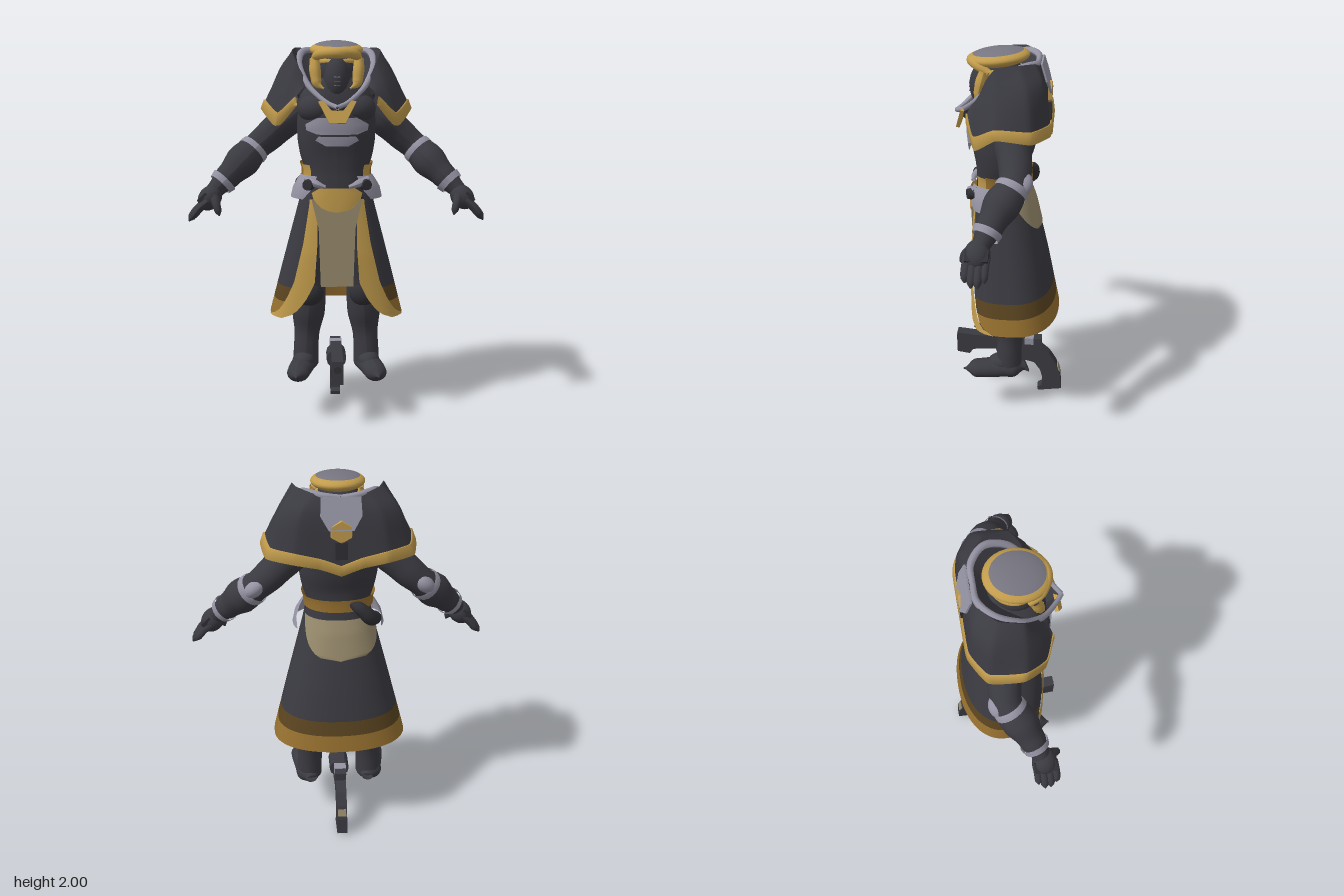
import * as THREE from 'three';

const V = (x, y, z) => new THREE.Vector3(x, y, z);
const P = Math.PI;

export function createModel() {
  const root = new THREE.Group();
  const mat = (name, color) => {
    const m = new THREE.MeshStandardMaterial({ color, side: THREE.DoubleSide });
    m.name = name;
    return m;
  };
  const dark = mat('charcoal', 0x3a3a41), black = mat('black', 0x303035), gold = mat('gold', 0xc29c4c),
    bronze = mat('bronze', 0x96702f), brown = mat('dark brown', 0x5a4420), tan = mat('tan cloth', 0x998c6d),
    silver = mat('silver', 0x9593a3), slate = mat('slate', 0x777580);

  const add = (name, geo, m) => {
    const mesh = new THREE.Mesh(geo, m);
    mesh.name = name;
    root.add(mesh);
    return mesh;
  };
  const both = (fn) => [1, -1].forEach((s) => fn(s, s > 0 ? 'left' : 'right'));

  // smooth sheet through rows of points
  function sheet(name, rows, m) {
    const n = rows[0].length, idx = [];
    for (let i = 0; i < rows.length - 1; i++) for (let j = 0; j < n - 1; j++) {
      const a = i * n + j, b = a + n;
      idx.push(a, b, a + 1, b, b + 1, a + 1);
    }
    const g = new THREE.BufferGeometry().setFromPoints(rows.flat());
    g.setIndex(idx);
    g.computeVertexNormals();
    return add(name, g, m);
  }
  // tube whose radius follows a list
  function limb(name, pts, radii, m, sides = 14, seg = 24) {
    const curve = new THREE.CatmullRomCurve3(pts);
    const g = new THREE.TubeGeometry(curve, seg, 1, sides);
    const p = g.attributes.position, v = V(0, 0, 0);
    for (let i = 0; i <= seg; i++) {
      const c = curve.getPointAt(i / seg), f = (i / seg) * (radii.length - 1);
      const k = Math.min(Math.floor(f), radii.length - 2);
      const r = THREE.MathUtils.lerp(radii[k], radii[k + 1], THREE.MathUtils.smoothstep(f - k, 0, 1));
      for (let j = 0; j <= sides; j++) {
        const q = i * (sides + 1) + j;
        v.fromBufferAttribute(p, q).sub(c).multiplyScalar(r).add(c);
        p.setXYZ(q, v.x, v.y, v.z);
      }
    }
    g.computeVertexNormals();
    return add(name, g, m);
  }
  function ball(name, pos, size, m) {
    const mesh = add(name, new THREE.SphereGeometry(1, 24, 16), m);
    mesh.position.set(...pos);
    mesh.scale.set(...size);
    return mesh;
  }
  function box(name, size, pos, m) {
    const mesh = add(name, new THREE.BoxGeometry(...size), m);
    mesh.position.set(...pos);
    return mesh;
  }
  const plate = (pts, depth) => new THREE.ExtrudeGeometry(
    new THREE.Shape(pts.map((p) => new THREE.Vector2(...p))), { depth, bevelEnabled: false });

  // tables run from high y to low y
  function look(table, y) {
    let i = 0;
    while (i < table.length - 2 && y < table[i + 1][0]) i++;
    const a = table[i], b = table[i + 1], t = THREE.MathUtils.clamp((a[0] - y) / (a[0] - b[0]), 0, 1);
    return a.map((q, k) => q + (b[k] - q) * t);
  }
  // body section: [y, half width, front z, back z]; angle 0 is the front
  function point(table, y, a, pow, grow = 0) {
    const [, rx, zf, zb] = look(table, y), c = Math.cos(a), s = Math.sin(a), e = c > 0 ? pow : 0.9;
    const sp = (q) => Math.sign(q) * Math.abs(q) ** e;
    return V((rx + grow) * sp(s), y, (zf + zb) / 2 + ((zf - zb) / 2 + grow) * sp(c));
  }
  const angle = (table, y, x, pow) => Math.asin(Math.min(1, Math.abs(x) / look(table, y)[1]) ** (1 / pow)) * Math.sign(x);
  const steps = (a, b, n) => Array.from({ length: n + 1 }, (_, i) => a + ((b - a) * i) / n);
  const band = (name, table, pow, ys, from, to, n, grow, m) => sheet(name, ys.map((y) =>
    steps(from(y), to(y), n).map((a) => point(table, y, a, pow, grow))), m);

  // torso
  const torso = [[1.87, 0.07, 0.1, -0.07], [1.8, 0.13, 0.172, -0.13], [1.72, 0.19, 0.19, -0.15], [1.6, 0.205, 0.2, -0.15],
    [1.5, 0.203, 0.19, -0.13], [1.42, 0.19, 0.175, -0.105], [1.34, 0.165, 0.17, -0.1], [1.2, 0.18, 0.175, -0.12]];
  band('torso', torso, 0.85, steps(1.87, 1.2, 26), () => 0, () => 2 * P, 40, 0, dark);
  band('belt', torso, 0.85, [1.38, 1.35, 1.315], () => 1.1, () => 2 * P - 1.1, 36, 0.014, bronze);
  both((s, side) => band(side + 'BeltClasp', torso, 0.85, [1.375, 1.345, 1.315], () => s * 0.75, () => s * 1.15, 8, 0.018, gold));
  const bodyPatch = (name, outline, grow, m) => band(name, torso, 0.85, outline.map((r) => r[0]),
    (y) => angle(torso, y, -look(outline, y)[1], 0.85), (y) => angle(torso, y, look(outline, y)[1], 0.85), 12, grow, m);
  bodyPatch('chestPlate', [[1.62, 0.09], [1.585, 0.145], [1.555, 0.14], [1.535, 0.09]], 0.022, silver);
  bodyPatch('bellyPlate', [[1.525, 0.085], [1.505, 0.1], [1.475, 0.05]], 0.022, silver);
  both((s, side) => {
    ball(side + 'Pectoral', [s * 0.1, 1.66, 0.11], [0.1, 0.08, 0.088], dark);
    ball(side + 'AbMuscle', [s * 0.055, 1.42, 0.125], [0.07, 0.07, 0.045], dark);
  });

  // long open skirt
  const skirt = [[1.27, 0.175, 0.17, -0.11], [1.2, 0.19, 0.185, -0.135], [0.9, 0.27, 0.2, -0.205], [0.56, 0.358, 0.2, -0.272]];
  const edge = [[1.27, 0.09, 0.13], [1.17, 0.1, 0.14], [0.97, 0.1, 0.172], [0.76, 0.115, 0.222],
    [0.67, 0.16, 0.262], [0.61, 0.205, 0.297], [0.585, 0.235, 0.322], [0.56, 0.29, 0.352]];
  const inner = (y) => angle(skirt, y, look(edge, y)[1], 0.65), outer = (y) => angle(skirt, y, look(edge, y)[2], 0.65);
  [['skirtCloth', 1.27, 0.73, 12, dark], ['skirtBand', 0.73, 0.65, 4, brown], ['skirtHem', 0.65, 0.56, 8, bronze]].forEach(
    ([name, a, b, n, m]) => band(name, skirt, 0.65, steps(a, b, n), outer, (y) => 2 * P - outer(y), 48, 0, m));
  both((s, side) => band(side + 'SkirtTrim', skirt, 0.65, steps(1.2, 0.56, 28), (y) => s * inner(y), (y) => s * outer(y), 5, 0.004, gold));
  const drape = (y) => Math.max(0, (y - 1.06) / 0.21) ** 0.42;
  band('backDrape', skirt, 0.65, steps(1.27, 1.06, 14), (y) => P - 1.3 * drape(y), (y) => P + 1.75 * drape(y), 24, 0.006, tan);
  add('tabard', plate([[-0.13, 1.2], [-0.095, 1.05], [-0.085, 0.74], [0.085, 0.74], [0.095, 1.05], [0.13, 1.2]], 0.009), tan)
    .position.z = 0.182;
  bodyPatch('buckle', [[1.262, 0.075], [1.235, 0.108], [1.2, 0.1], [1.16, 0.068], [1.145, 0.04], [1.138, 0.01]], 0.036, gold);

  // hips and sash
  const hips = [[1.325, 0.18, 0.19, -0.1], [1.26, 0.226, 0.215, -0.13], [1.2, 0.24, 0.212, -0.15]];
  both((s, side) => {
    band(side + 'HipGuard', hips, 0.8, [1.32, 1.29, 1.25, 1.2], (y) => s * (0.5 + Math.max(0, 1.26 - y) * 4),
      (y) => s * (1.55 + (1.32 - y) * 4), 14, 0, silver);
    limb(side + 'HipStrap', [V(s * 0.06, 1.268, 0.205), V(s * 0.1, 1.282, 0.2), V(s * 0.16, 1.305, 0.16)], [0.01, 0.02, 0.016], silver, 8, 8);
    const knob = add(side + 'HipKnob', new THREE.CylinderGeometry(0.026, 0.031, 0.03, 16), black);
    knob.position.set(s * 0.148, 1.278, 0.192);
    knob.rotation.set(P / 2, 0, -s * 0.4);
  });
  limb('sash', [V(-0.05, 1.36, -0.09), V(-0.11, 1.325, -0.11), V(-0.165, 1.265, -0.09), V(-0.21, 1.245, 0)],
    [0.02, 0.034, 0.04, 0.036, 0.004], black);

  // mantle: columns from front to back, each from collar to hem
  const columns = [
    [[0.15, 1.785, 0.14], [0.18, 1.755, 0.175], [0.205, 1.725, 0.19], [0.21, 1.68, 0.19]],
    [[0.2, 1.885, 0.1], [0.25, 1.775, 0.135], [0.295, 1.64, 0.15], [0.305, 1.575, 0.14]],
    [[0.226, 1.95, 0.05], [0.298, 1.825, 0.05], [0.365, 1.7, 0.04], [0.382, 1.655, 0.03]],
    [[0.205, 1.965, -0.06], [0.29, 1.86, -0.1], [0.34, 1.685, -0.125], [0.355, 1.63, -0.13]],
    [[0.13, 1.955, -0.13], [0.195, 1.87, -0.175], [0.225, 1.68, -0.198], [0.225, 1.625, -0.205]],
    [[0.08, 1.95, -0.145], [0.09, 1.87, -0.178], [0.1, 1.65, -0.202], [0.1, 1.6, -0.207]],
    [[0, 1.945, -0.15], [0, 1.87, -0.178], [0, 1.61, -0.2], [0, 1.56, -0.205]]];
  const collar = [[0, 1.935, -0.14], [0.09, 1.945, -0.135], [0.17, 1.945, -0.07], [0.193, 1.885, 0.04],
    [0.162, 1.805, 0.12], [0.125, 1.755, 0.17], [0.05, 1.695, 0.235], [0, 1.675, 0.272]];
  both((s, side) => {
    const at = (p) => V(s * p[0], p[1], p[2]);
    const rows = [0, 1, 2, 3].map((r) => new THREE.CatmullRomCurve3(columns.map((c) => at(c[r])), false, 'catmullrom', 0.25).getPoints(36));
    const cloth = rows[0].map((_, j) => new THREE.CatmullRomCurve3([rows[0][j], rows[1][j], rows[2][j]]).getPoints(8));
    sheet(side + 'Mantle', cloth, dark);
    const out = (p, d) => p.clone().add(V(p.x, 0, p.z).setLength(d));
    sheet(side + 'MantleHem', rows[0].map((_, j) => [rows[2][j], out(rows[2][j], 0.01), out(rows[3][j], 0.01),
      out(rows[3][j], -0.012), rows[2][j]]), gold);
    // collar trim, with lining up to the mantle and down to the neck
    const ring = collar.map(at);
    limb(side + 'CollarTrim', ring, [0.014, 0.018, 0.019, 0.017, 0.013, 0.012], silver, 8, 36);
    const line = new THREE.CatmullRomCurve3(ring).getPoints(28);
    sheet(side + 'CollarLining', [line, line.map((p) => V(p.x * 0.6, p.y - 0.1, p.z * 0.6 + 0.02))], dark);
    sheet(side + 'CollarEdge', [rows[0], new THREE.CatmullRomCurve3(collar.slice(0, 6).reverse().map(at)).getPoints(36)], dark);
  });
  const chevron = add('neckChevron', plate([[-0.095, 1.7], [-0.04, 1.59], [0.04, 1.59], [0.095, 1.7], [0.07, 1.705], [0.03, 1.655],
    [-0.03, 1.655], [-0.07, 1.705]].map(([x, y]) => [x, y - 1.65]), 0.018), gold);
  chevron.position.set(0, 1.65, 0.238);
  chevron.rotation.x = -0.3;

  // back panel
  const panel = add('backPanel', plate([[-0.095, 1.95], [-0.1, 1.86], [-0.06, 1.79], [0.06, 1.79], [0.1, 1.86], [0.095, 1.95]]
    .map(([x, y]) => [x, y - 1.87]), 0.009), silver);
  panel.position.set(0, 1.87, -0.188);
  panel.rotation.x = 0.3;
  const hex = add('backEmblemPlate', new THREE.CylinderGeometry(0.055, 0.06, 0.02, 6).toNonIndexed(), gold);
  hex.geometry.computeVertexNormals();
  hex.position.set(0, 1.785, -0.2);
  hex.rotation.x = -P / 2;
  box('backClip', [0.06, 0.09, 0.02], [0, 1.69, -0.2], black);

  // head
  ball('hood', [0, 1.85, 0.05], [0.115, 0.12, 0.12], dark);
  ball('faceMask', [0, 1.81, 0.12], [0.07, 0.12, 0.085], dark);
  steps(1.78, 1.82, 2).forEach((y) => box('maskVent', [0.03, 0.004, 0.006], [0, y, 0.203], slate));
  const cap = new THREE.Group();
  cap.name = 'helmetCap';
  cap.add(add('crown', new THREE.SphereGeometry(1, 32, 10, 0, 2 * P, 0, 0.95), slate),
    add('brim', new THREE.SphereGeometry(1, 32, 12, 0, 2 * P, 0.95, P - 0.95), gold));
  cap.position.set(0, 1.954, 0.058);
  cap.scale.set(0.135, 0.045, 0.157);
  cap.rotation.x = 0.1;
  root.add(cap);
  limb('brow', [V(-0.118, 1.9, 0.09), V(-0.09, 1.93, 0.148), V(0, 1.938, 0.19), V(0.09, 1.93, 0.148), V(0.118, 1.9, 0.09)],
    [0.018, 0.026, 0.027, 0.026, 0.018], gold);
  const nape = add('napeBand', new THREE.TorusGeometry(0.102, 0.016, 8, 32), gold);
  nape.position.set(0, 1.895, 0.045);
  nape.rotation.x = P / 2;
  both((s, side) => limb(side + 'CheekGuard', [V(s * 0.112, 1.91, 0.115), V(s * 0.108, 1.84, 0.135), V(s * 0.098, 1.785, 0.15),
    V(s * 0.065, 1.762, 0.17)], [0.025, 0.03, 0.026, 0.005], gold, 8));

  // arms and hands
  both((s, side) => {
    const at = (x, y, z) => V(s * x, y, z);
    limb(side + 'Arm', [at(0.16, 1.67, -0.02), at(0.25, 1.6, -0.035), at(0.36, 1.5, -0.058), at(0.43, 1.44, -0.052),
      at(0.51, 1.36, 0.005), at(0.61, 1.26, 0.062), at(0.64, 1.23, 0.077)], [0.07, 0.09, 0.082, 0.074, 0.09, 0.068, 0.045], dark, 18, 36);
    limb(side + 'ElbowCuff', [at(0.425, 1.445, -0.055), at(0.437, 1.433, -0.048), at(0.449, 1.421, -0.04)], [0.08, 0.084, 0.084], silver, 18, 4);
    const elbow = ball(side + 'ElbowCap', [s * 0.425, 1.455, -0.09], [0.068, 0.045, 0.058], silver);
    elbow.rotation.set(0, -s * 0.4, -s * 0.7);
    limb(side + 'WristCuff', [at(0.585, 1.285, 0.048), at(0.608, 1.262, 0.06)], [0.073, 0.066], silver, 18, 3);
    ball(side + 'Palm', [s * 0.66, 1.197, 0.09], [0.058, 0.072, 0.062], dark).rotation.z = s * 0.7;
    for (let i = 0; i < 4; i++) {
      const z = 0.045 + i * 0.03, r = i === 0 ? 0.019 : 0.022, len = [0.82, 1, 0.98, 0.82][i];
      limb(side + 'Finger', [at(0.665, 1.188, z), at(0.665 + 0.058 * len, 1.188 - 0.047 * len, z + 0.004),
        at(0.665 + 0.108 * len, 1.188 - 0.112 * len, z + 0.004)], [r, r, r, r, r, r * 0.9, 0.004], dark, 8, 12);
    }
    limb(side + 'Thumb', [at(0.635, 1.21, 0.12), at(0.62, 1.17, 0.155), at(0.605, 1.115, 0.168)],
      [0.026, 0.025, 0.022, 0.02, 0.018, 0.003], dark, 8, 10);
    box(side + 'KnuckleGuard', [0.06, 0.02, 0.11], [s * 0.692, 1.205, 0.09], black).rotation.z = -s * 0.75;

    // legs and boots
    limb(side + 'Leg', [at(0.09, 1.2, 0.02), at(0.12, 0.95, 0.02), at(0.14, 0.68, 0.01), at(0.155, 0.5, -0.015), at(0.165, 0.35, -0.01),
      at(0.168, 0.25, -0.01)], [0.1, 0.11, 0.1, 0.082, 0.09, 0.068, 0.07], dark, 18, 36);
    ball(side + 'KneePad', [s * 0.145, 0.67, 0.055], [0.075, 0.075, 0.06], black);
    const boot = limb(side + 'Boot', [at(0.158, 0, -0.095), at(0.172, 0, -0.02), at(0.197, 0, 0.1), at(0.214, 0, 0.2), at(0.22, 0, 0.238)],
      [0.03, 0.072, 0.066, 0.064, 0.06, 0.004], dark, 16);
    boot.scale.y = 0.78;
    boot.position.y = 0.256;
    ball(side + 'Instep', [s * 0.178, 0.285, 0.035], [0.058, 0.05, 0.07], dark);
  });

  // pistol between the feet, outlined as [z, y]
  const profile = (name, pts, w, m) => {
    const g = plate(pts, w);
    g.rotateY(-P / 2);
    g.translate(w / 2, 0, 0);
    return add(name, g, m);
  };
  profile('pistolBody', [[0.3, 0.365], [0.3, 0.24], [0.23, 0.23], [0.21, 0.26], [0.08, 0.27], [0.06, 0.21], [-0.06, 0.21],
    [-0.18, 0.3], [-0.18, 0.345], [0.2, 0.355]], 0.06, dark);
  profile('pistolGrip', [[-0.06, 0.3], [-0.18, 0.29], [-0.225, 0.25], [-0.265, 0.185], [-0.29, 0.11], [-0.297, 0.02], [-0.165, 0],
    [-0.16, 0.02], [-0.185, 0.035], [-0.188, 0.09], [-0.175, 0.14], [-0.14, 0.19], [-0.06, 0.21]], 0.056, dark);
  profile('trigger', [[-0.04, 0.22], [-0.08, 0.19], [-0.11, 0.11], [-0.085, 0.12], [-0.04, 0.19]], 0.02, dark);
  const drum = add('pistolDrum', new THREE.CylinderGeometry(0.054, 0.054, 0.12, 12), dark);
  drum.rotation.x = P / 2;
  drum.position.set(0, 0.295, 0);
  box('pistolInlay', [0.066, 0.04, 0.05], [0, 0.33, -0.11], silver);
  const strap = box('gripInlay', [0.045, 0.04, 0.008], [0, 0.15, -0.279], tan);
  strap.rotation.x = 0.32;
  const bore = add('bore', new THREE.CylinderGeometry(0.02, 0.02, 0.006, 16), black);
  bore.rotation.x = P / 2;
  bore.position.set(0, 0.32, 0.301);
  return root;
}
